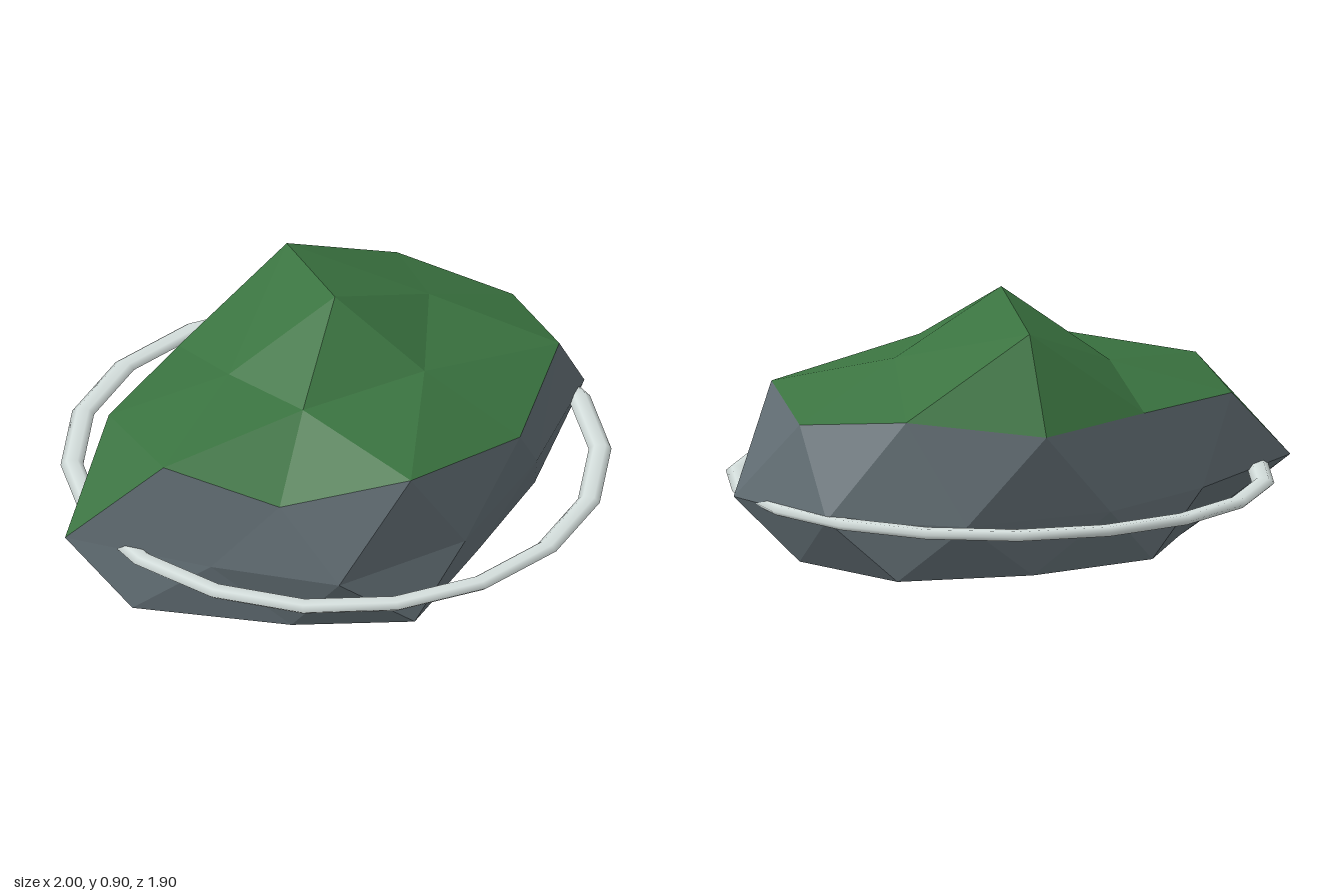
import * as THREE from 'three';

const rockGrey = new THREE.MeshStandardMaterial({ color: 0x606c72 });
const grassGreen = new THREE.MeshStandardMaterial({ color: 0x3a7340 });
const foamWhite = new THREE.MeshStandardMaterial({ color: 0xd4dedc });
rockGrey.name = 'rockGrey';
grassGreen.name = 'grassGreen';
foamWhite.name = 'foamWhite';

// Cross-sections of the boulder from top to base, each going round from +x towards +z
const PEAK = [0.03, 0.9, 0];
const CROWN = [[0.48, 0.7, 0], [0.16, 0.685, 0.32], [-0.3, 0.67, 0.19], [-0.3, 0.63, -0.19], [0.2, 0.83, -0.43]];
const SHOULDER = [
  [0.88, 0.51, 0], [0.73, 0.575, 0.4], [0.3, 0.51, 0.66], [-0.24, 0.59, 0.68], [-0.57, 0.47, 0.36],
  [-0.79, 0.56, 0], [-0.66, 0.51, -0.42], [-0.2, 0.52, -0.555], [0.3, 0.52, -0.685], [0.7, 0.57, -0.4],
];
const WAIST = [
  [0.99, 0.25], [0.53, 0.5], [0.01, 0.69], [-0.5, 0.59], [-0.75, 0.2],
  [-1, -0.28], [-0.45, -0.55], [0.03, -0.685], [0.58, -0.605], [0.935, -0.25],
].map(([x, z]) => [x, 0.22, z]);
const BASE = [
  [0.88, 0.02, 0], [0.65, 0, 0.36], [0.21, 0.01, 0.54], [-0.25, 0.01, 0.71], [-0.57, 0, 0.42],
  [-0.92, 0.015, -0.02], [-0.47, 0.01, -0.37], [-0.19, 0.01, -0.62], [0.3, 0.01, -0.6], [0.75, 0.01, -0.42],
];

// Unshared corners keep every facet flat
function facetMesh(name, faces, material) {
  const geometry = new THREE.BufferGeometry();
  geometry.setAttribute('position', new THREE.Float32BufferAttribute(faces.flat(2), 3));
  geometry.computeVertexNormals();
  const mesh = new THREE.Mesh(geometry, material);
  mesh.name = name;
  return mesh;
}

export function createModel() {
  const group = new THREE.Group();
  group.name = 'rockIslet';
  const at = (ring, i) => ring[(i + ring.length) % ring.length];

  // Grass cap: peak, crown and shoulder
  const grass = [];
  for (let k = 0; k < 5; k++) {
    const a = at(CROWN, k), next = at(CROWN, k + 1);
    const before = at(SHOULDER, 2 * k - 1), middle = at(SHOULDER, 2 * k), after = at(SHOULDER, 2 * k + 1);
    grass.push([PEAK, next, a], [a, middle, before], [a, after, middle], [a, next, after]);
  }

  // Rock sides and underside; one facet is grassed down to the waist
  const rock = [];
  const center = [0, 0.01, 0];
  for (let j = 0; j < 10; j++) {
    const s = at(SHOULDER, j), w = at(WAIST, j), wPrev = at(WAIST, j - 1);
    const b = at(BASE, j), bNext = at(BASE, j + 1);
    (j === 5 ? grass : rock).push([s, at(SHOULDER, j + 1), w]);
    rock.push([s, w, wPrev], [w, bNext, b], [wPrev, w, b], [center, b, bNext]);
  }
  group.add(facetMesh('grassCap', grass, grassGreen), facetMesh('rockBody', rock, rockGrey));

  // Flattened foam ring at the waterline
  const ringGeometry = new THREE.TorusGeometry(0.925, 0.04, 6, 18);
  ringGeometry.scale(1, 1, 0.5);
  ringGeometry.rotateX(-Math.PI / 2);
  const ring = new THREE.Mesh(ringGeometry, foamWhite);
  ring.name = 'foamRing';
  ring.position.set(0.035, 0.217, 0);
  group.add(ring);

  return group;
}
